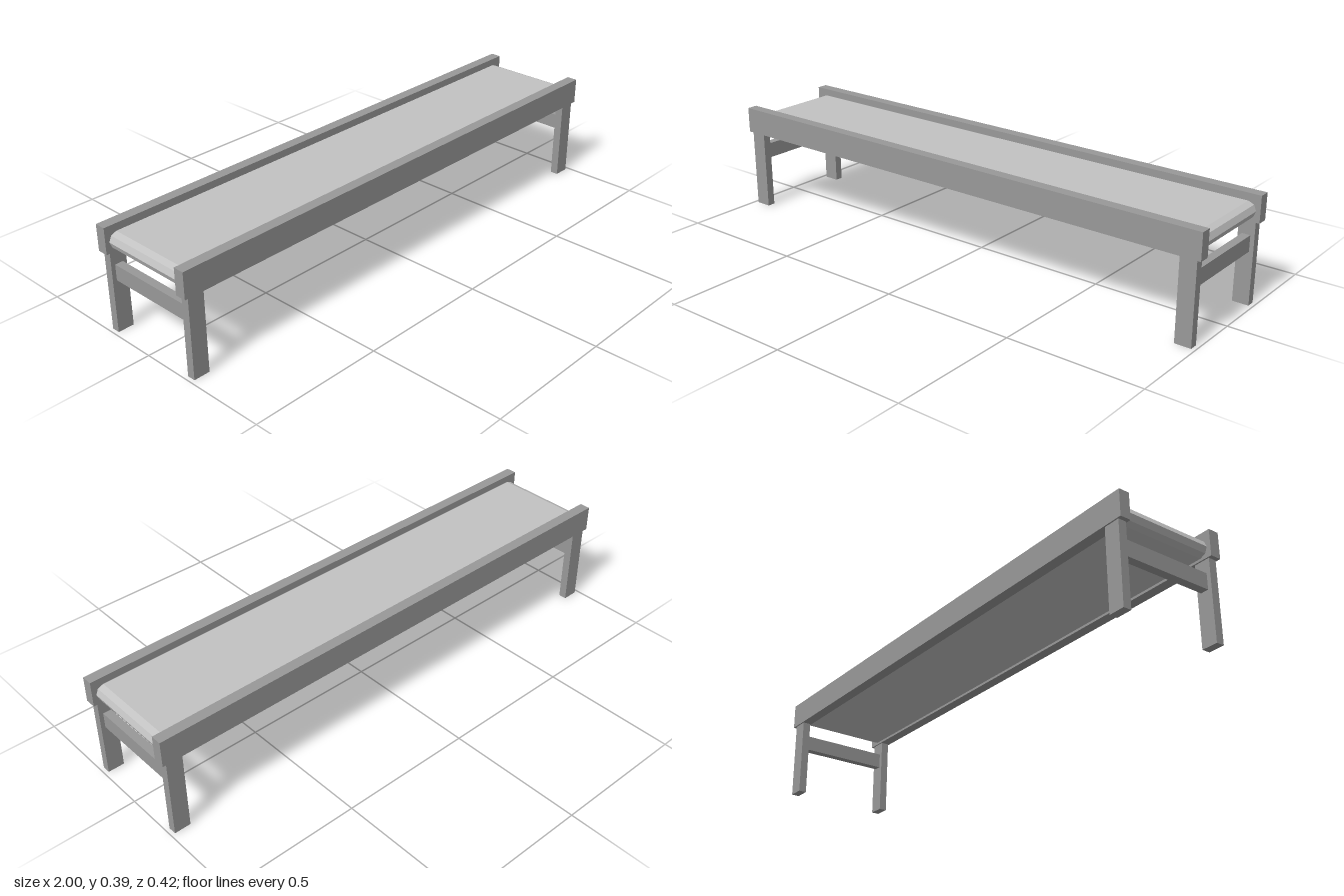
import * as THREE from 'three';

export function createModel() {
  const model = new THREE.Group();
  model.name = 'conveyor';

  const frameMat = new THREE.MeshStandardMaterial({ color: 0x999999 });
  frameMat.name = 'frame grey';
  const beltMat = new THREE.MeshStandardMaterial({ color: 0xc2c2c2 });
  beltMat.name = 'belt light grey';

  // Box given by its extents on each axis
  function box(name, [x0, x1], [y0, y1], [z0, z1]) {
    const mesh = new THREE.Mesh(new THREE.BoxGeometry(x1 - x0, y1 - y0, z1 - z0), frameMat);
    mesh.position.set((x0 + x1) / 2, (y0 + y1) / 2, (z0 + z1) / 2);
    mesh.name = name;
    model.add(mesh);
  }
  const span = (centre, size) => [centre - size / 2, centre + size / 2];

  // Side rails
  for (const s of [1, -1]) {
    box(s > 0 ? 'frontRail' : 'backRail', [-1, 1], [0.297, 0.393], span(s * 0.19, 0.04));
  }

  // Legs and the crossbar joining each pair
  for (const e of [1, -1]) {
    const end = e > 0 ? 'left' : 'right';
    for (const s of [1, -1]) {
      box(end + (s > 0 ? 'FrontLeg' : 'BackLeg'), span(e * 0.955, 0.06), [0, 0.297], span(s * 0.19, 0.03));
    }
    box(end + 'Crossbar', span(e * 0.955, 0.03), [0.19, 0.248], [-0.176, 0.176]);
  }

  // Belt loop with faceted round ends, running between the rails
  const radius = 0.03, reach = 0.985 - radius, steps = 4;
  const loop = new THREE.Shape();
  for (const e of [1, -1]) {
    for (let i = 0; i <= steps; i++) {
      const a = (i / steps - 0.5) * Math.PI;
      const x = e * (reach + radius * Math.cos(a)), y = e * radius * Math.sin(a);
      if (e > 0 && i === 0) loop.moveTo(x, y);
      else loop.lineTo(x, y);
    }
  }
  loop.closePath();
  const beltGeo = new THREE.ExtrudeGeometry(loop, { depth: 0.342, bevelEnabled: false });
  beltGeo.translate(0, 0.336, -0.171);
  const belt = new THREE.Mesh(beltGeo, beltMat);
  belt.name = 'belt';
  model.add(belt);

  return model;
}
